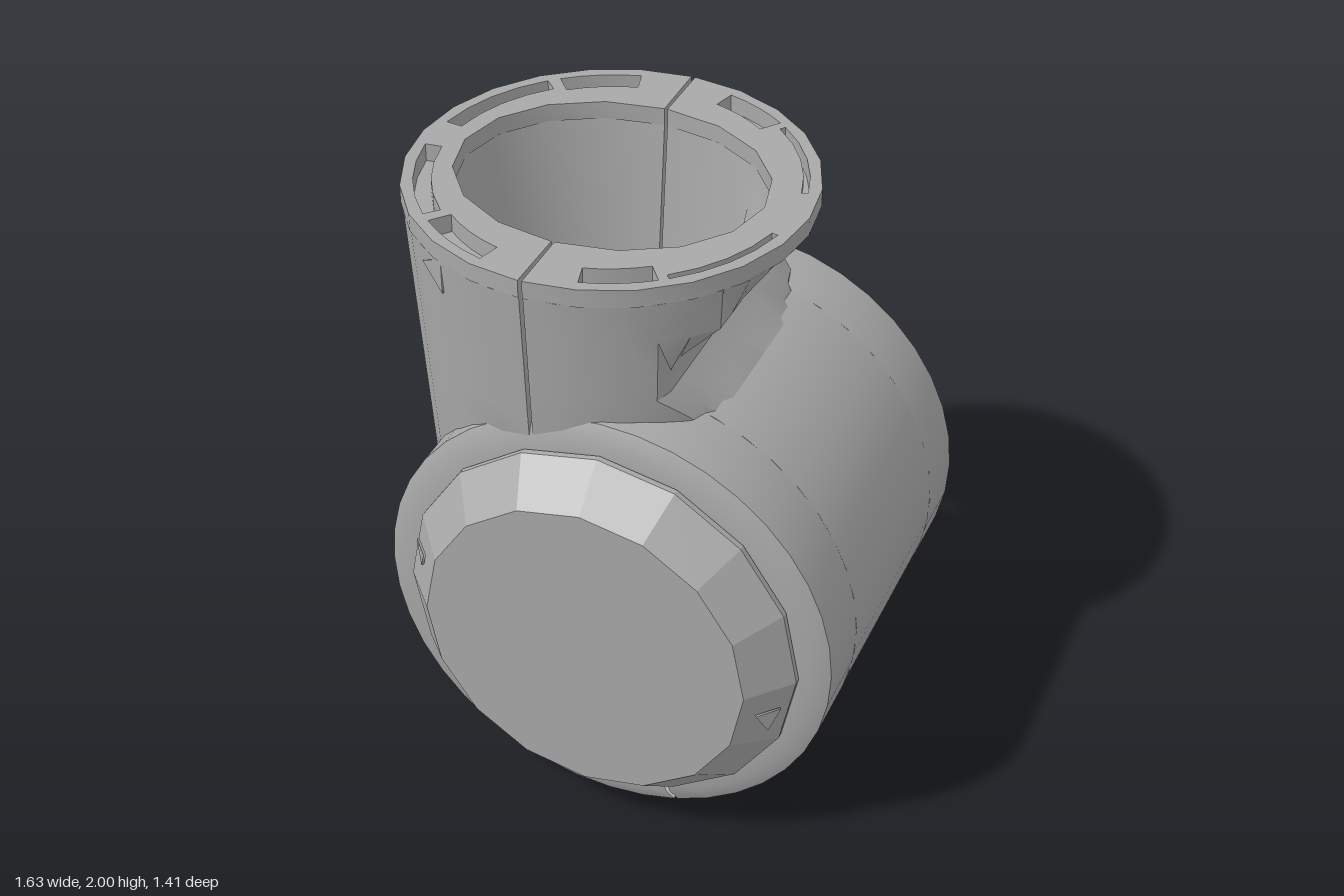
import * as THREE from 'three';
import { toCreasedNormals } from 'three/addons/utils/BufferGeometryUtils.js';

const CX = 0.055, CY = 0.755;          // barrel axis
const NX = -0.175, NZ = -0.06;         // neck axis
const V = (x, y) => new THREE.Vector2(x, y);
const rad = THREE.MathUtils.degToRad;

export function createModel() {
  const group = new THREE.Group();
  const grey = new THREE.MeshStandardMaterial({ color: 0xa8a8a8, side: THREE.DoubleSide });
  grey.name = 'grey plastic';

  function add(name, geometry, parent = group) {
    const mesh = new THREE.Mesh(geometry, grey);
    mesh.name = name;
    parent.add(mesh);
    return mesh;
  }

  // Lathe about the z axis; angle 0 points down and grows towards +x
  function barrelPart(name, profile, start, end, segments, crease = 0.6) {
    const g = new THREE.LatheGeometry(profile.map(p => V(...p)), segments, start, end - start);
    g.rotateX(Math.PI / 2);
    add(name, toCreasedNormals(g, crease)).position.set(CX, CY, 0);
  }

  // Barrel shell, slit along the bottom and open under the neck
  const a0 = 0.336, a1 = Math.PI * 2 + 0.318;
  barrelPart('frontRim', [[0.62, 0.30], [0.755, 0.30], [0.755, 0.525], [0.70, 0.55], [0.62, 0.55], [0.62, 0.30]], a0, a1, 40);
  barrelPart('backRim', [[0.64, -0.42], [0.62, -0.64], [0.64, -0.66], [0.71, -0.66], [0.755, -0.63], [0.755, -0.42], [0.64, -0.42]], a0, a1, 40);
  const wall = [[0.64, -0.42], [0.755, -0.42], [0.755, 0.30], [0.64, 0.30], [0.64, -0.42]];
  barrelPart('leftShell', wall, a0, 2.92, 18);
  barrelPart('rightShell', wall, 4.12, a1, 17);

  // Solid core inside the barrel, with a bevelled front cap
  barrelPart('core', [[0, -0.43], [0.575, -0.43], [0.575, 0.5]], 0, Math.PI * 2, 32);
  barrelPart('frontCap', [[0.575, 0.5], [0.66, 0.555], [0.66, 0.575], [0.54, 0.71], [0, 0.71]], 0, Math.PI * 2, 16, 0.2);

  // Lugs holding the core in the open back
  for (const deg of [180, 60, 5, -55, -120]) {
    const lug = new THREE.Group();
    lug.name = 'coreLug';
    lug.position.set(CX, CY, -0.49);
    lug.rotation.z = rad(deg);
    group.add(lug);
    add('lugBlock', new THREE.BoxGeometry(0.11, 0.2, 0.16), lug).position.x = 0.595;
  }

  // Neck profile rules
  const levels = [1.94, 1.8, 1.66, 1.58, 1.5, 1.4, 1.25, 1.1, 0.95, 0.85];
  const cuts = [0.47, 0.34, 0.21, 0.21, 0.28, 0.4, 0.45, 0.45, 0.45, 0.45];
  const outerRadius = y => y > 0.95 ? 0.58 + (y - 0.95) * 0.062 : 0.53 + (y - 0.85) * 0.5;
  const seat = (x, r) => Math.max(0.85, CY + Math.sqrt(Math.max(0, r * r - (x - CX) ** 2)));

  function neckPoint(t, i, outer) {
    const y = levels[i];
    const k = THREE.MathUtils.clamp((y - 1.4) / 0.54, 0, 1);
    const rx = outer ? outerRadius(y) : 0.4 + 0.1 * k;
    const rz = outer ? rx : 0.37 + 0.05 * k;
    const x = Math.min(NX + rx * Math.cos(t), cuts[i] - (outer ? 0 : 0.06));
    return [x, Math.max(y, seat(x, outer ? 0.70 : 0.64)), NZ - rz * Math.sin(t)];
  }

  // Half of the neck wall: a closed section swept round, with flat ends at the slit
  function neckHalf(start, end) {
    const n = levels.length, m = n * 2, steps = 20, pos = [], index = [];
    for (let j = 0; j <= steps; j++) {
      const t = start + (end - start) * j / steps;
      for (let i = 0; i < n; i++) pos.push(...neckPoint(t, i, true));
      for (let i = n - 1; i >= 0; i--) pos.push(...neckPoint(t, i, false));
    }
    const quad = (a, b, c, d) => index.push(a, b, c, a, c, d);
    for (let j = 0; j < steps; j++) for (let k = 0; k < m; k++) {
      const k2 = (k + 1) % m;
      quad(j * m + k, j * m + k2, (j + 1) * m + k2, (j + 1) * m + k);
    }
    const e = steps * m;
    for (let i = 0; i < n - 1; i++) {
      quad(i, m - 1 - i, m - 2 - i, i + 1);
      quad(e + i, e + i + 1, e + m - 2 - i, e + m - 1 - i);
    }
    const g = new THREE.BufferGeometry();
    g.setAttribute('position', new THREE.Float32BufferAttribute(pos, 3));
    g.setIndex(index);
    return toCreasedNormals(g, 0.5);
  }

  const arc = (rx, ry, s, e, n) => Array.from({ length: n + 1 }, (_, i) => {
    const t = s + (e - s) * i / n;
    return V(rx * Math.cos(t), ry * Math.sin(t));
  });

  // Half of the flat top flange with curved slots
  function flangeHalf(start, end, slots) {
    const shape = new THREE.Shape([...arc(0.645, 0.645, start, end, 12), ...arc(0.5, 0.42, end, start, 8)]);
    for (const [s, e, r0, r1] of slots) for (const side of [1, -1]) {
      const p = rad(s) * side, q = rad(e) * side;
      shape.holes.push(new THREE.Path([...arc(r1, r1, p, q, 4), ...arc(r0, r0, q, p, 4)]));
    }
    const g = new THREE.ExtrudeGeometry(shape, { depth: 0.06, bevelEnabled: false });
    g.rotateX(-Math.PI / 2);
    return toCreasedNormals(g, 0.5);
  }

  const h = Math.PI / 2, gap = 0.01;
  const halves = [
    ['left', -h + gap, h - gap, [[53, 75, 0.53, 0.605], [12, 50, 0.585, 0.605]]],
    ['right', h + gap, 3 * h - gap, [[105, 130, 0.53, 0.605], [134, 173, 0.55, 0.605]]],
  ];
  for (const [side, s, e, slots] of halves) {
    add(side + 'Neck', neckHalf(s, e));
    add(side + 'Flange', flangeHalf(s, e, slots)).position.set(NX, 1.94, NZ);
  }

  // Small triangular marks on neck, cap and barrel
  function mark(x, y, z, rx, ry, rz, size) {
    const g = new THREE.CylinderGeometry(size, size, 0.008, 3);
    g.rotateX(Math.PI / 2);
    const m = add('triangleMark', g);
    m.position.set(x, y, z);
    m.rotation.set(rx, ry, rz);
  }
  mark(-0.5, 1.89, 0.487, 0, -0.54, -h, 0.07);
  mark(-0.5, 1.89, -0.607, 0, 0.54, -h, 0.07);
  for (const z of [-0.3, 0.3]) mark(-0.06, 0.01, z, h, 0.15, 0, 0.05);
  mark(-0.53, 0.91, 0.64, 0, -0.84, 0, 0.05);
  mark(0.65, 0.64, 0.64, 0, 0.84, 0, 0.05);

  return group;
}
